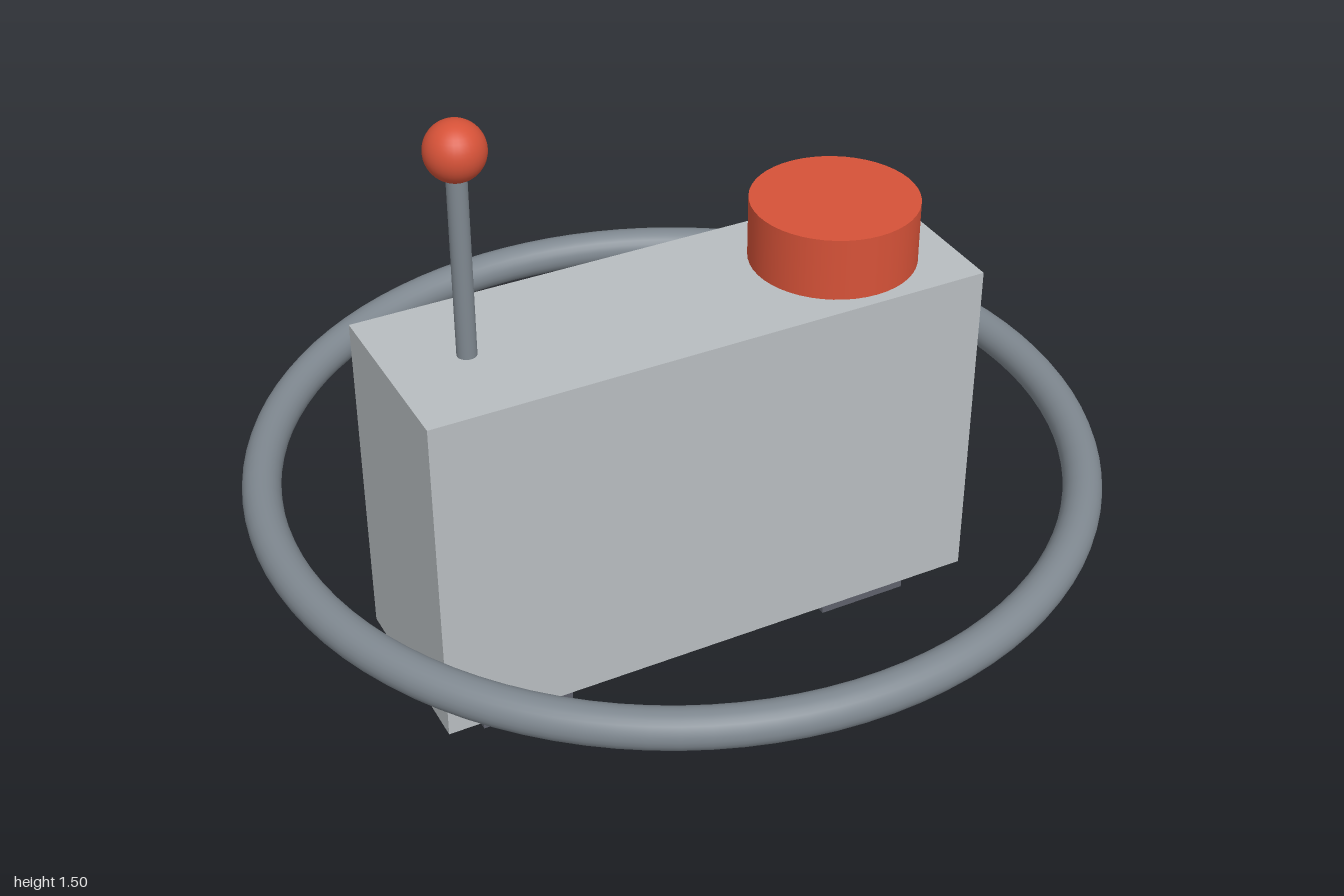
import * as THREE from 'three';

const paint = (name, color) => {
  const m = new THREE.MeshStandardMaterial({ color });
  m.name = name;
  return m;
};

export function createModel() {
  const model = new THREE.Group();
  model.name = 'model';
  const shell = paint('light grey', 0xb8bdc0);
  const metal = paint('steel grey', 0x7f8890);
  const dark = paint('dark grey', 0x5e616b);
  const red = paint('signal red', 0xd65238);

  const add = (name, geometry, material, x, y, z = 0) => {
    const mesh = new THREE.Mesh(geometry, material);
    mesh.name = name;
    mesh.position.set(x, y, z);
    model.add(mesh);
    return mesh;
  };

  // Main casing
  add('body', new THREE.BoxGeometry(1.372, 0.841, 0.457), shell, 0, 0.5135);

  // Pair of feet
  for (const [side, name] of [[1, 'leftFoot'], [-1, 'rightFoot']]) {
    add(name, new THREE.BoxGeometry(0.229, 0.093, 0.305), dark, side * 0.457, 0.0465);
  }

  // Horizontal ring around the casing
  add('ring', new THREE.TorusGeometry(0.955, 0.045, 24, 96), metal, 0, 0.515)
    .rotation.x = Math.PI / 2;

  // Round button on top
  add('button', new THREE.CylinderGeometry(0.198, 0.198, 0.153, 48), red, 0.419, 1.0105);

  // Antenna with ball tip
  add('antennaRod', new THREE.CylinderGeometry(0.023, 0.023, 0.5, 24), metal, -0.5, 1.18);
  add('antennaTip', new THREE.SphereGeometry(0.068, 32, 20), red, -0.5, 1.432);

  return model;
}
